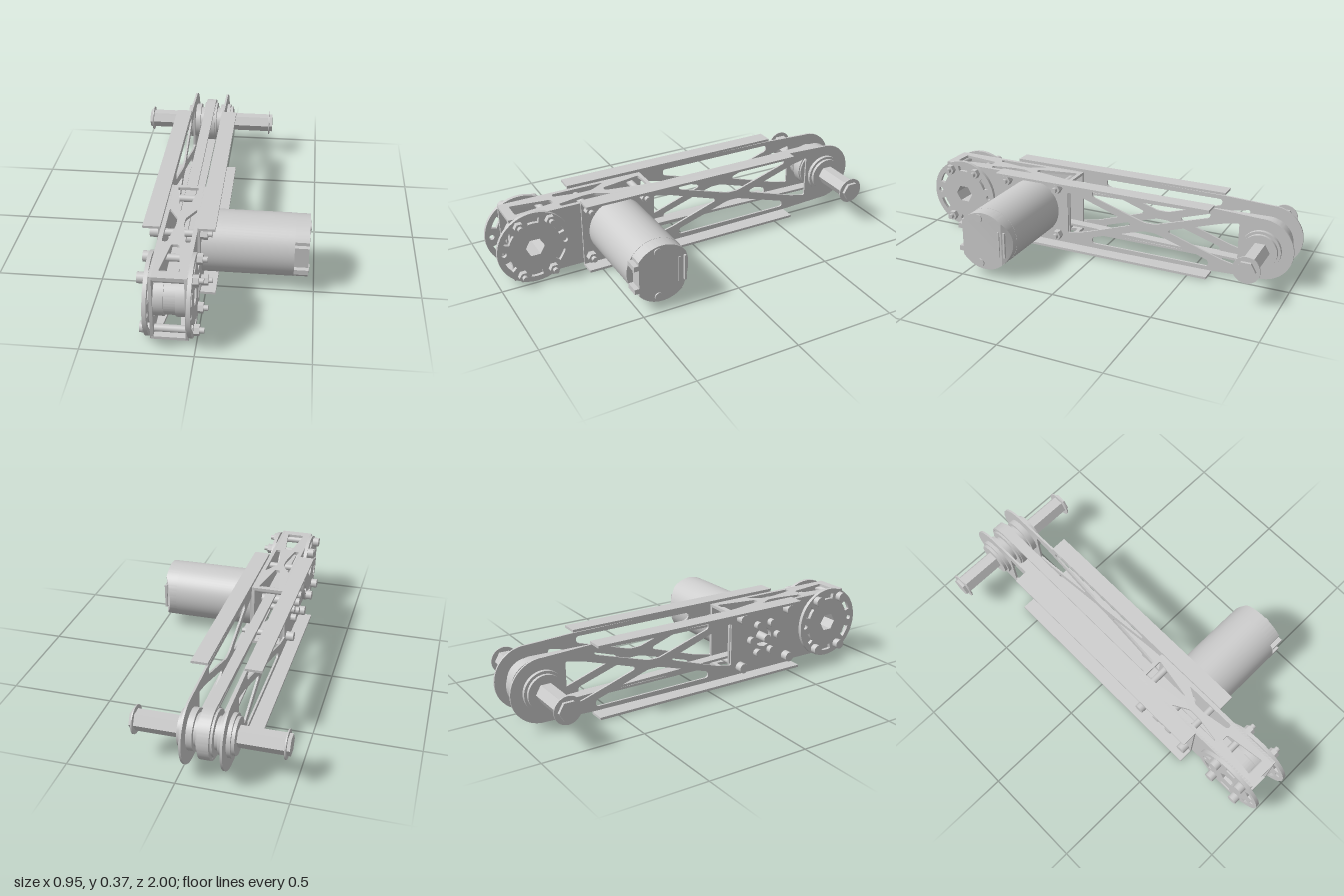
import * as THREE from 'three';
import { toCreasedNormals } from 'three/addons/utils/BufferGeometryUtils.js';

const material = new THREE.MeshStandardMaterial({ color: 0xcccccc });
const MID = 0.185;                     // height of every axle
const FRONT = 0.815, MOTOR = 0.387, REAR = -0.845; // axle positions in z

function add(parent, name, geometry) {
  const mesh = new THREE.Mesh(geometry, material);
  mesh.name = name;
  parent.add(mesh);
  return mesh;
}

// Polygon with rounded corners
function rounded(points, r, Type = THREE.Path) {
  const p = points.map(([a, b]) => new THREE.Vector2(a, b));
  const path = new Type();
  p.forEach((c, i) => {
    const prev = p[(i + p.length - 1) % p.length], next = p[(i + 1) % p.length];
    const k = (q) => c.clone().lerp(q, Math.min(0.45, r / c.distanceTo(q)));
    const a = k(prev), b = k(next);
    if (i === 0) path.moveTo(a.x, a.y); else path.lineTo(a.x, a.y);
    path.quadraticCurveTo(c.x, c.y, b.x, b.y);
  });
  path.closePath();
  return path;
}

const circle = (z, y, r, Type = THREE.Path) => new Type().absarc(z, y, r, 0, Math.PI * 2, false);

function hexagon(z, y, r) {
  const pts = [];
  for (let i = 0; i < 6; i++) pts.push(new THREE.Vector2(z + r * Math.cos(i * Math.PI / 3), y + r * Math.sin(i * Math.PI / 3)));
  return new THREE.Path(pts).closePath();
}

// Shape drawn in (z, y), extruded from x0 to x1
function sidePlate(shape, x0, x1) {
  const depth = x1 - x0;
  const g = new THREE.ExtrudeGeometry(shape, { depth, bevelEnabled: false, curveSegments: 24 });
  return toCreasedNormals(g.rotateY(-Math.PI / 2).translate(x1, 0, 0), 0.5);
}

// Cylinder along x
function rod(x0, x1, r, z, y, sides = 32) {
  return new THREE.CylinderGeometry(r, r, x1 - x0, sides, 1).rotateZ(Math.PI / 2).translate((x0 + x1) / 2, y, z);
}
function hexRod(...args) {
  return toCreasedNormals(rod(...args, 6), 0.5);
}

// Outline of a belt around the front and rear pulleys
function beltLoop(rFront, rRear, Type) {
  const a = Math.acos((rRear - rFront) / (FRONT - REAR));
  const path = new Type();
  path.absarc(FRONT, MID, rFront, -a, a, false);
  path.absarc(REAR, MID, rRear, a, 2 * Math.PI - a, false);
  path.closePath();
  return path;
}

const flip = (pts) => pts.map(([z, y]) => [z, 2 * MID - y]);

function armShape() {
  const s = new THREE.Shape();
  s.moveTo(0.57, 0.01);
  s.lineTo(0.57, 0.36);
  s.lineTo(-0.6, 0.35);
  s.absarc(REAR, MID, 0.155, 1.52, 2 * Math.PI - 1.52, false);
  s.lineTo(-0.6, 0.02);
  s.lineTo(0.57, 0.01);
  const upper = [[0.045, 0.33], [0.045, 0.298], [-0.24, 0.208], [-0.3, 0.208], [-0.585, 0.298], [-0.585, 0.33]];
  s.holes.push(
    rounded(upper, 0.016), rounded(flip(upper), 0.016),
    rounded([[0.185, 0.298], [0.09, 0.278], [-0.165, 0.192], [-0.165, 0.178], [0.09, 0.092], [0.185, 0.072]], 0.012),
    rounded([[-0.73, 0.298], [-0.64, 0.278], [-0.375, 0.192], [-0.375, 0.178], [-0.64, 0.092], [-0.73, 0.072]], 0.012),
    circle(MOTOR, MID, 0.05));
  return s;
}

function discShape() {
  const s = circle(FRONT, MID, 0.185, THREE.Shape);
  s.holes.push(hexagon(FRONT, MID, 0.048));
  // slots between the bolts
  for (const deg of [30, 90, 150, 210, 270, 330]) {
    const a = deg * Math.PI / 180, w = 0.2, slot = new THREE.Path();
    slot.absarc(FRONT, MID, 0.158, a - w, a + w, false);
    slot.absarc(FRONT, MID, 0.13, a + w, a - w, true);
    s.holes.push(slot.closePath());
  }
  for (const d of [-1, 1]) s.holes.push(circle(FRONT + d * 0.152, MID, 0.013));
  return s;
}

function tubeSideShape() {
  const s = rounded([[0.18, 0.02], [0.925, 0.02], [0.925, 0.35], [0.18, 0.35]], 0.004, THREE.Shape);
  s.holes.push(circle(FRONT, MID, 0.1), circle(MOTOR, MID, 0.05));
  return s;
}

// Top and bottom tube wall, drawn in (x, z)
function tubeTop() {
  const s = rounded([[-0.084, 0.18], [0.084, 0.18], [0.084, 0.925], [-0.084, 0.925]], 0.004, THREE.Shape);
  s.holes.push(
    rounded([[-0.052, 0.2], [0.052, 0.2], [0.014, 0.41], [-0.014, 0.41]], 0.012),
    rounded([[-0.045, 0.88], [0.045, 0.88], [0.018, 0.68], [-0.018, 0.68]], 0.012));
  for (const d of [-1, 1]) {
    s.holes.push(rounded([[d * 0.064, 0.39], [d * 0.064, 0.66], [d * 0.04, 0.66], [d * 0.018, 0.53], [d * 0.018, 0.47]], 0.012));
  }
  return new THREE.ExtrudeGeometry(s, { depth: 0.014, bevelEnabled: false }).rotateX(Math.PI / 2);
}

function addBolt(parent, z, y) {
  const bolt = new THREE.Group();
  bolt.name = 'bolt';
  add(bolt, 'boltHead', rod(-0.134, -0.094, 0.025, z, y, 20));
  add(bolt, 'boltSpacer', rod(-0.084, 0.084, 0.017, z, y, 20));
  add(bolt, 'boltNut', hexRod(0.094, 0.128, 0.026, z, y));
  add(bolt, 'boltTip', rod(0.128, 0.148, 0.013, z, y, 16));
  parent.add(bolt);
}

function buildMotor() {
  const motor = new THREE.Group();
  motor.name = 'motor';
  add(motor, 'motorBody', rod(0.094, 0.52, 0.148, MOTOR, MID, 64));
  // end cap with one flat side and one chamfered side
  const cap = new THREE.Shape();
  cap.absarc(MOTOR, MID, 0.147, 0.65, 2 * Math.PI - 0.65, false);
  cap.closePath();
  const g = new THREE.ExtrudeGeometry(cap, { depth: 0.066, bevelEnabled: false, curveSegments: 48 });
  g.rotateY(-Math.PI / 2).translate(0.586, 0, 0);
  const p = g.attributes.position;
  for (let i = 0; i < p.count; i++) {
    if (p.getX(i) > 0.58) p.setX(i, p.getX(i) - Math.max(0, MOTOR - 0.1 - p.getZ(i)) * 0.65);
  }
  add(motor, 'motorCap', toCreasedNormals(g, 0.5));
  for (const d of [-1, 1]) {
    add(motor, 'capScrew', rod(0.58, 0.592, 0.02, MOTOR + 0.022, MID + d * 0.117, 20));
    add(motor, 'capLug', new THREE.BoxGeometry(0.066, 0.025, 0.03).translate(0.553, MID + d * 0.06, MOTOR + 0.125));
  }
  for (const dz of [-0.115, -0.085]) {
    add(motor, 'terminalRib', new THREE.BoxGeometry(0.012, 0.13, 0.01).translate(0.586, MID, MOTOR + dz));
  }
  add(motor, 'motorShaft', rod(-0.13, 0.1, 0.022, MOTOR, MID, 20));
  // ring of small screws on the far side
  for (let i = 0; i < 6; i++) {
    const a = i * Math.PI / 3;
    add(motor, 'mountScrew', rod(-0.122, -0.094, 0.02, MOTOR + 0.085 * Math.cos(a), MID + 0.085 * Math.sin(a), 16));
  }
  return motor;
}

export function createModel() {
  const model = new THREE.Group();
  const arm = new THREE.Group();
  arm.name = 'armAssembly';
  arm.position.x = -0.116;
  model.add(arm);

  // Parts repeated on both sides
  for (const s of [-1, 1]) {
    const span = (a, b) => (s > 0 ? [a, b] : [-b, -a]);
    add(arm, 'trussPlate', sidePlate(armShape(), ...span(0.084, 0.094)));
    add(arm, 'gearDisc', sidePlate(discShape(), ...span(0.084, 0.102)));
    add(arm, 'tubeSide', sidePlate(tubeSideShape(), ...span(0.07, 0.084)));
    for (const y of [0.009, 0.359]) {
      add(arm, 'flange', new THREE.BoxGeometry(0.08, 0.012, 1.17).translate(s * 0.124, y, -0.015));
    }
    // stack on the rear shaft
    const stack = [['pulleyFlange', 0.026, 0.036, 0.105], ['spacer', 0.036, 0.056, 0.075],
      ['innerCollar', 0.056, 0.084, 0.095], ['bearing', 0.094, 0.112, 0.098], ['bearingCap', 0.112, 0.127, 0.085],
      ['shaftClip', 0.335, 0.341, 0.066]];
    for (const [name, a, b, r] of stack) add(arm, name, rod(...span(a, b), r, REAR, MID, 40));
    // hub halves
    const hub = circle(FRONT, MID, 0.097, THREE.Shape);
    hub.holes.push(hexagon(FRONT, MID, 0.048));
    add(arm, 'hubHalf', sidePlate(hub, ...span(0.026, 0.084)));
  }

  // Tube walls
  add(arm, 'tubeTop', tubeTop().translate(0, 0.35, 0));
  add(arm, 'tubeBottom', tubeTop().translate(0, 0.034, 0));

  // Front hub core, rear pulley, shaft and belt
  const core = circle(FRONT, MID, 0.078, THREE.Shape);
  core.holes.push(hexagon(FRONT, MID, 0.048));
  add(arm, 'hubCore', sidePlate(core, -0.026, 0.026));
  add(arm, 'rearPulley', rod(-0.026, 0.026, 0.111, REAR, MID, 40));
  add(arm, 'hexShaft', hexRod(-0.356, 0.356, 0.049, REAR, MID));
  const belt = beltLoop(0.09, 0.123, THREE.Shape);
  belt.holes.push(beltLoop(0.078, 0.111, THREE.Path));
  add(arm, 'belt', sidePlate(belt, -0.026, 0.026));

  // Bolts of the discs and of the motor mount
  for (const dy of [-0.133, 0.133]) {
    for (const dz of [-0.077, 0.077]) addBolt(arm, FRONT - 0.005 + dz, MID + dy);
    for (const dz of [-0.147, 0.147]) addBolt(arm, MOTOR + dz, MID + dy * 0.97);
  }

  arm.add(buildMotor());
  return model;
}
